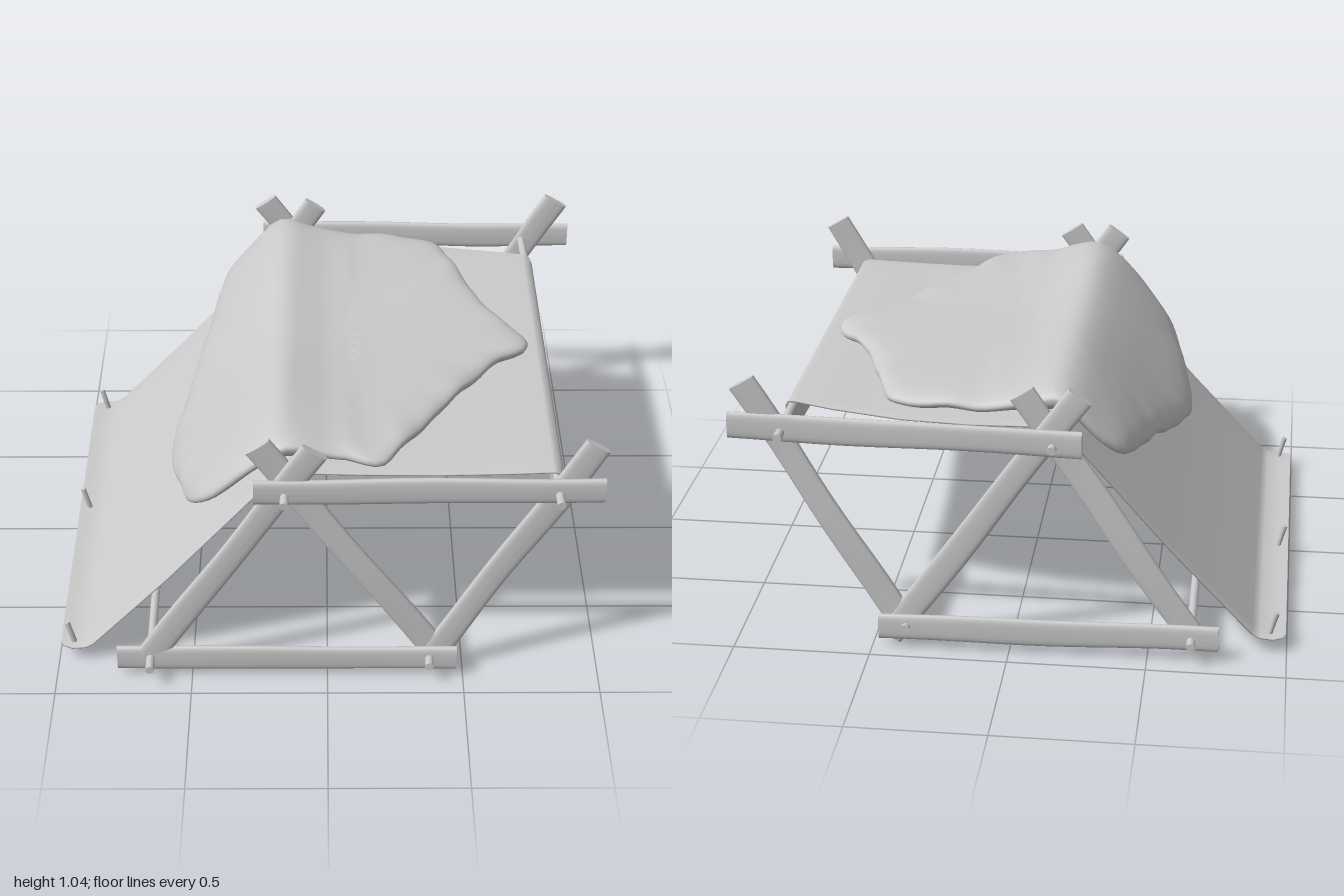
import * as THREE from 'three';

const mat = new THREE.MeshStandardMaterial({ color: 0xcccccc });
const thin = new THREE.MeshStandardMaterial({ color: 0xcccccc, side: THREE.DoubleSide });

function add(parent, name, geometry, material = mat) {
  const mesh = new THREE.Mesh(geometry, material);
  mesh.name = name;
  parent.add(mesh);
  return mesh;
}

// Hewn plank between two points of a side frame: flat oval section, slightly warped
function plank(parent, name, a, b, seed) {
  const dx = b[0] - a[0], dy = b[1] - a[1], length = Math.hypot(dx, dy);
  const g = new THREE.CylinderGeometry(1, 1, length, 20, 12);
  const p = g.attributes.position;
  const sq = (v) => Math.sign(v) * Math.pow(Math.abs(v), 0.65);
  for (let i = 0; i < p.count; i++) {
    const t = p.getY(i) / length;
    const w = 0.1 * (1 + 0.04 * Math.sin(t * 7 + seed));
    p.setX(i, sq(p.getX(i)) * w / 2 + 0.003 * Math.sin(t * 9 + seed * 2));
    p.setZ(i, sq(p.getZ(i)) * 0.015 + 0.003 * Math.sin(t * 8 + seed * 3) + a[2] + (b[2] - a[2]) * (t + 0.5));
  }
  g.computeVertexNormals();
  const mesh = add(parent, name, g);
  mesh.position.set((a[0] + b[0]) / 2, (a[1] + b[1]) / 2, 0);
  mesh.rotation.z = Math.atan2(-dx, dy);
}

// Round stick through a list of points, with closed ends
function stick(parent, name, points, radius) {
  const group = new THREE.Group();
  group.name = name;
  const pts = points.map((p) => new THREE.Vector3(...p));
  add(group, name + 'Shaft', new THREE.TubeGeometry(new THREE.CatmullRomCurve3(pts), 16, radius, 10));
  [[0, 1], [pts.length - 1, pts.length - 2]].forEach(([end, next]) => {
    const cap = add(group, name + 'End', new THREE.CircleGeometry(radius, 10));
    cap.position.copy(pts[end]);
    cap.lookAt(pts[end].clone().multiplyScalar(2).sub(pts[next]));
  });
  parent.add(group);
}

// Smooth surface through a list of closed rings
function ringSurface(rows) {
  const n = rows[0].length, index = [];
  for (let r = 0; r < rows.length - 1; r++) {
    for (let c = 0; c < n; c++) {
      const d = (c + 1) % n;
      const i = r * n + c, j = r * n + d, k = i + n, l = j + n;
      index.push(i, j, k, j, l, k);
    }
  }
  const g = new THREE.BufferGeometry();
  g.setAttribute('position', new THREE.Float32BufferAttribute(rows.flat(2), 3));
  g.setIndex(index);
  g.computeVertexNormals();
  return g;
}

// Ground cloth: stretched over the poles, sloping down behind, with a hanging flap
function clothGeometry() {
  // x, back z, back y, front z, front y
  const sections = [
    [-0.995, -0.79, 0.06, 0.77, 0.06], [-0.985, -0.815, 0.06, 0.795, 0.06],
    [-0.95, -0.83, 0.058, 0.81, 0.058], [-0.90, -0.83, 0.062, 0.81, 0.062],
    [-0.87, -0.83, 0.08, 0.81, 0.08], [-0.58, -0.83, 0.388, 0.81, 0.388],
    [-0.26, -0.83, 0.755, 0.81, 0.755], [-0.19, -0.83, 0.835, 0.81, 0.835],
    [-0.155, -0.83, 0.856, 0.81, 0.856], [-0.11, -0.83, 0.857, 0.81, 0.857],
    [0.15, -0.825, 0.85, 0.81, 0.85], [0.4, -0.80, 0.848, 0.81, 0.848],
    [0.65, -0.75, 0.853, 0.81, 0.853], [0.80, -0.71, 0.859, 0.81, 0.859],
    [0.825, -0.70, 0.852, 0.81, 0.852], [0.836, -0.69, 0.83, 0.80, 0.83],
    [0.834, -0.67, 0.74, 0.72, 0.69], [0.832, -0.66, 0.705, 0.66, 0.605],
    [0.831, -0.63, 0.692, 0.60, 0.585],
  ];
  const half = 0.003;
  const rows = sections.map(([x, zb, yb, zf, yf], s) => {
    const before = sections[Math.max(0, s - 1)], after = sections[Math.min(sections.length - 1, s + 1)];
    const dx = after[0] - before[0], dy = after[2] - before[2], len = Math.hypot(dx, dy);
    const layer = (side) => Array.from({ length: 25 }, (_, i) => {
      const t = i / 24;
      const bow = yb === yf ? 0 : 0.02 * Math.sin(Math.PI * t);
      return [x - side * half * dy / len, yb + (yf - yb) * t + bow + side * half * dx / len, zb + (zf - zb) * t];
    });
    return [...layer(1), ...layer(-1).reverse()];
  });
  return ringSurface(rows);
}

// Thick hide: irregular outline filled with rings, draped over the ridge
function hideGeometry() {
  const outline = [
    [-0.22, -0.83], [-0.08, -0.81], [0.2, -0.79], [0.4, -0.755], [0.455, -0.72], [0.487, -0.64],
    [0.55, -0.455], [0.615, -0.267], [0.695, -0.134], [0.745, -0.07], [0.767, -0.02], [0.75, 0.053],
    [0.66, 0.108], [0.59, 0.2], [0.53, 0.29], [0.43, 0.45], [0.33, 0.62], [0.26, 0.73],
    [0.2, 0.815], [0.16, 0.825], [0.07, 0.805], [-0.08, 0.81], [-0.24, 0.825], [-0.4, 0.775],
    [-0.48, 0.7], [-0.54, 0.5], [-0.59, 0.2], [-0.54, -0.1], [-0.475, -0.4], [-0.42, -0.68], [-0.38, -0.78],
  ].map(([x, z]) => new THREE.Vector3(x, 0, z));
  const rim = new THREE.CatmullRomCurve3(outline, true).getSpacedPoints(140).slice(0, -1);
  const drape = [[-0.62, 0.475], [-0.5, 0.615], [-0.35, 0.785], [-0.23, 0.92], [-0.17, 0.96],
    [-0.1, 0.942], [0, 0.916], [0.15, 0.902], [0.8, 0.882]];
  const height = (x) => {
    let i = 0;
    while (i < drape.length - 2 && x > drape[i + 1][0]) i++;
    const [a, b] = [drape[i], drape[i + 1]];
    return a[1] + (b[1] - a[1]) * (x - a[0]) / (b[0] - a[0]);
  };
  const soft = (x) => (height(x - 0.03) + height(x - 0.015) + height(x) + height(x + 0.015) + height(x + 0.03)) / 5;
  const ring = (s, side) => rim.map((p, i) => {
    const x = p.x * s, z = p.z * s;
    const slope = (soft(x + 0.01) - soft(x - 0.01)) / 0.02;
    const len = Math.hypot(1, slope);
    const ridge = side < 0 ? 0.03 * Math.exp(-(((x + 0.14) / 0.1) ** 2)) : 0;
    const thick = 0.034 + 0.014 * THREE.MathUtils.smoothstep(-x, 0.15, 0.35) + ridge;
    const h = side * thick * Math.sqrt(Math.max(0, 1 - Math.pow(s, 18)));
    const a = i / rim.length * Math.PI * 2;
    const ripple = (0.005 * Math.sin(a * 13) + 0.004 * Math.sin(a * 23 + 1)) * s ** 10
      + (0.009 * Math.cos(z * 5 - 3.4) + 0.004 * z) * (x < 0.1 ? 1 : 0.6);
    return [x - slope / len * h * 0.6, soft(x) + h / len + ripple, z];
  });
  const steps = [0.001];
  for (let i = 1; i <= 18; i++) steps.push(i / 20);
  steps.push(0.93, 0.955, 0.975, 0.99, 0.997);
  const rows = steps.map((s) => ring(s, 1));
  rows.push(ring(1, 0));
  rows.push(...steps.slice().reverse().map((s) => ring(s, -1)));
  return ringSurface(rows);
}

export function createModel() {
  const model = new THREE.Group();
  model.name = 'campBed';

  // Two triangulated side frames
  [1, -1].forEach((side) => {
    const front = side > 0;
    const frame = new THREE.Group();
    frame.name = front ? 'frontFrame' : 'backFrame';
    const zA = front ? 0.885 : -0.874, zB = front ? 0.857 : -0.897;
    plank(frame, 'topRail', [-0.26, 0.842, front ? 0.9 : -0.935], [front ? 0.975 : 1, 0.842, front ? 0.89 : -0.902], 1 + side);
    plank(frame, 'bottomRail', [front ? -0.775 : -0.755, front ? 0.083 : 0.092, front ? 0.888 : -0.91],
      [0.475, 0.083, front ? 0.897 : -0.93], 2 + side);
    plank(frame, 'outerLeg', [-0.665, 0.07, zA], [-0.045, 1.003, zA], 3 + side);
    plank(frame, 'crossLeg', [0.437, 0.033, zB], [-0.247, 1.007, zB], 4 + side);
    plank(frame, 'endLeg', [0.396, 0.09, zB], [0.944, 1.007, zB], 5 + side);
    stick(frame, 'shortPeg', [[0.38, 0.09, side * (front ? 0.81 : 0.87)], [0.375, 0.09, side * 0.9],
      [0.373, 0.092, side * 0.96]], 0.016);
    model.add(frame);
  });

  // Poles running through both frames
  const pole = (name, x, y) => stick(model, name,
    [[x - 0.003, y, -0.975], [x + 0.003, y + 0.004, -0.6], [x, y + 0.012, 0], [x, y + 0.01, 0.4], [x + 0.004, y, 0.97]], 0.016);
  pole('lowerPole', -0.655, 0.087);
  pole('ridgePole', -0.155, 0.83);
  pole('endPole', 0.81, 0.83);

  add(model, 'cloth', clothGeometry(), thin);
  add(model, 'hide', hideGeometry(), thin);

  // Stakes pinning the cloth to the ground
  [[-0.935, -0.785], [-0.955, -0.07], [-0.943, 0.77]].forEach(([x, z]) => {
    stick(model, 'stake', [[x, 0.055, z], [x - 0.012, 0.1, z], [x - 0.025, 0.147, z - 0.004]], 0.01);
  });

  // Set the feet on the ground
  const box = new THREE.Box3().setFromObject(model);
  model.children.forEach((c) => { c.position.y -= box.min.y; });
  return model;
}
